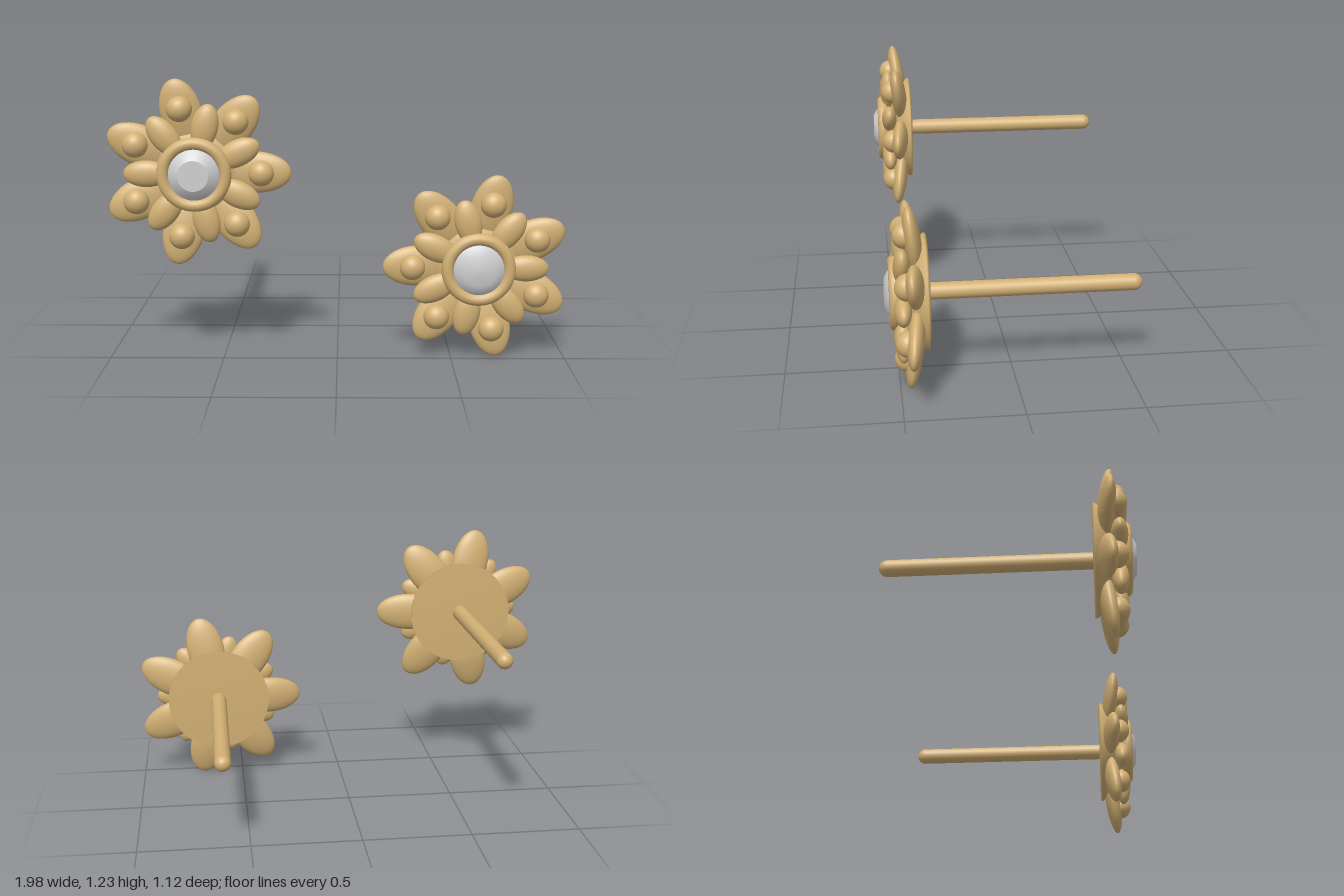
import * as THREE from 'three';

const gold = new THREE.MeshStandardMaterial({ color: 0xd2b074 });
gold.name = 'gold';
const silver = new THREE.MeshStandardMaterial({ color: 0xcfcfd1 });
silver.name = 'silver';

const PETALS = 7;

function add(parent, name, geometry, material) {
  const mesh = new THREE.Mesh(geometry, material);
  mesh.name = name;
  parent.add(mesh);
  return mesh;
}

// Profile of [radius, z] pairs turned around the z axis
function turned(points) {
  const profile = points.map(([r, z]) => new THREE.Vector2(r, z));
  return new THREE.LatheGeometry(profile, 48).rotateX(Math.PI / 2);
}

// Ellipsoid lying along x, its tip raised toward the front by tilt
function petal(length, width, depth, r, z, tilt) {
  return new THREE.SphereGeometry(1, 32, 20)
    .scale(length, width, depth)
    .rotateY(-tilt)
    .translate(r, 0, z);
}

// Repeats one geometry around the flower
function ring(parent, name, geometry, offset) {
  const group = new THREE.Group();
  group.name = name + 's';
  for (let i = 0; i < PETALS; i++) {
    add(group, name, geometry, gold).rotation.z = offset + (i * 2 * Math.PI) / PETALS;
  }
  parent.add(group);
}

function flowerStud(name, faceted) {
  const stud = new THREE.Group();
  stud.name = name;

  // Back plate with a softly domed front
  add(stud, 'backPlate', turned([
    [0, 0.375], [0.25, 0.375], [0.25, 0.385], [0.22, 0.425], [0.15, 0.47], [0, 0.5],
  ]), gold);

  // Outer petals, beads on them, and inner petals between them
  ring(stud, 'outerPetal', petal(0.16, 0.091, 0.037, 0.256, 0.437, 0.12), 0);
  ring(stud, 'bead', petal(0.056, 0.056, 0.05, 0.285, 0.473, 0), 0);
  ring(stud, 'innerPetal', petal(0.1, 0.058, 0.036, 0.208, 0.487, 0), Math.PI / PETALS);

  // Raised setting around the stone
  add(stud, 'settingBase', turned([[0.135, 0.46], [0.135, 0.525], [0, 0.525]]), gold);
  const bezel = add(stud, 'bezel', new THREE.TorusGeometry(0.134, 0.027, 16, 56), gold);
  bezel.position.z = 0.514;

  // Stone: crisp flat table on one stud, softly rounded on the other
  if (faceted) {
    add(stud, 'stoneSide', turned([[0.112, 0.52], [0.107, 0.535], [0.066, 0.56]]), silver);
    const table = add(stud, 'stoneTable', new THREE.CircleGeometry(0.066, 48), silver);
    table.position.z = 0.56;
  } else {
    add(stud, 'stone', turned([
      [0.112, 0.52], [0.107, 0.535], [0.066, 0.558], [0, 0.561],
    ]), silver);
  }

  // Post with rounded end
  const post = add(stud, 'post', new THREE.CapsuleGeometry(0.037, 0.906, 10, 28), gold);
  post.rotation.x = Math.PI / 2;
  post.position.z = -0.07;
  return stud;
}

export function createModel() {
  const model = new THREE.Group();
  model.name = 'flowerEarrings';

  const upper = flowerStud('rightEarring', true);
  upper.position.set(-0.613, 0.83, 0);

  const lower = flowerStud('leftEarring', false);
  lower.position.set(0.613, 0.415, 0);
  lower.rotation.z = Math.PI;

  model.add(upper, lower);
  return model;
}
